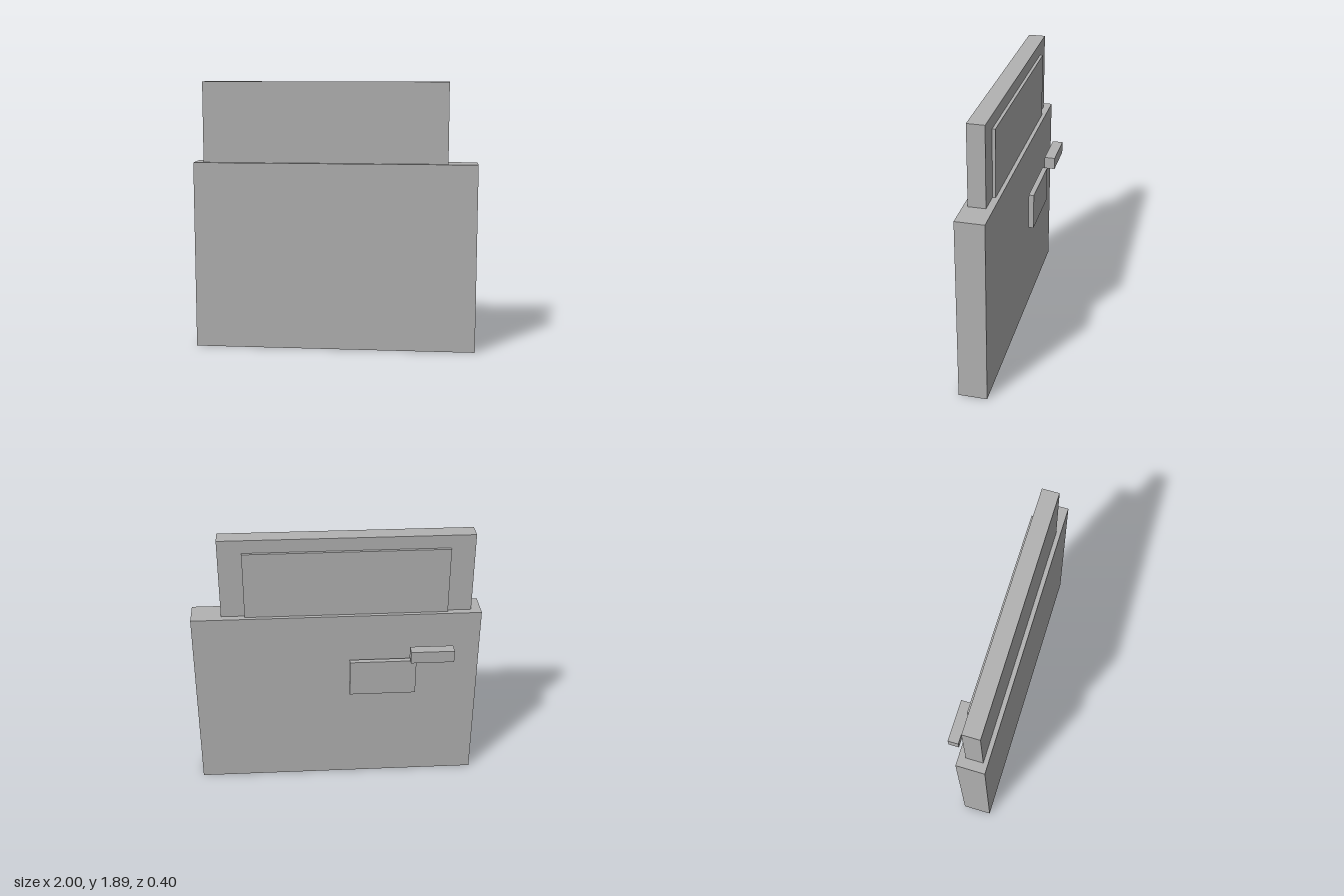
import * as THREE from 'three';

export function createModel() {
  const model = new THREE.Group();
  model.name = 'doorPanel';
  const grey = new THREE.MeshStandardMaterial({ color: 0xb2b2b2 });
  grey.name = 'plain grey';

  // Box given by its [min, max] extents along each axis of the turned door
  function slab(name, [x0, x1], [y0, y1], [z0, z1]) {
    const mesh = new THREE.Mesh(new THREE.BoxGeometry(x1 - x0, y1 - y0, z1 - z0), grey);
    mesh.position.set((x0 + x1) / 2, (y0 + y1) / 2, (z0 + z1) / 2);
    mesh.name = name;
    model.add(mesh);
  }

  // Main door body and the window section standing on it
  slab('lowerPanel', [-0.995, 0.995], [0, 1.327], [-0.099, 0.099]);
  slab('windowFrame', [-0.928, 0.79], [1.327, 1.892], [-0.051, 0.068]);
  slab('windowPane', [-0.764, 0.629], [1.327, 1.8], [-0.072, -0.051]);

  // Fittings set just off the back face
  slab('handlePlate', [-0.55, -0.086], [0.729, 0.993], [-0.165, -0.128]);
  slab('handleLever', [-0.802, -0.502], [1.014, 1.101], [-0.229, -0.154]);

  // The door stands slightly ajar
  model.rotation.y = THREE.MathUtils.degToRad(6);
  return model;
}
